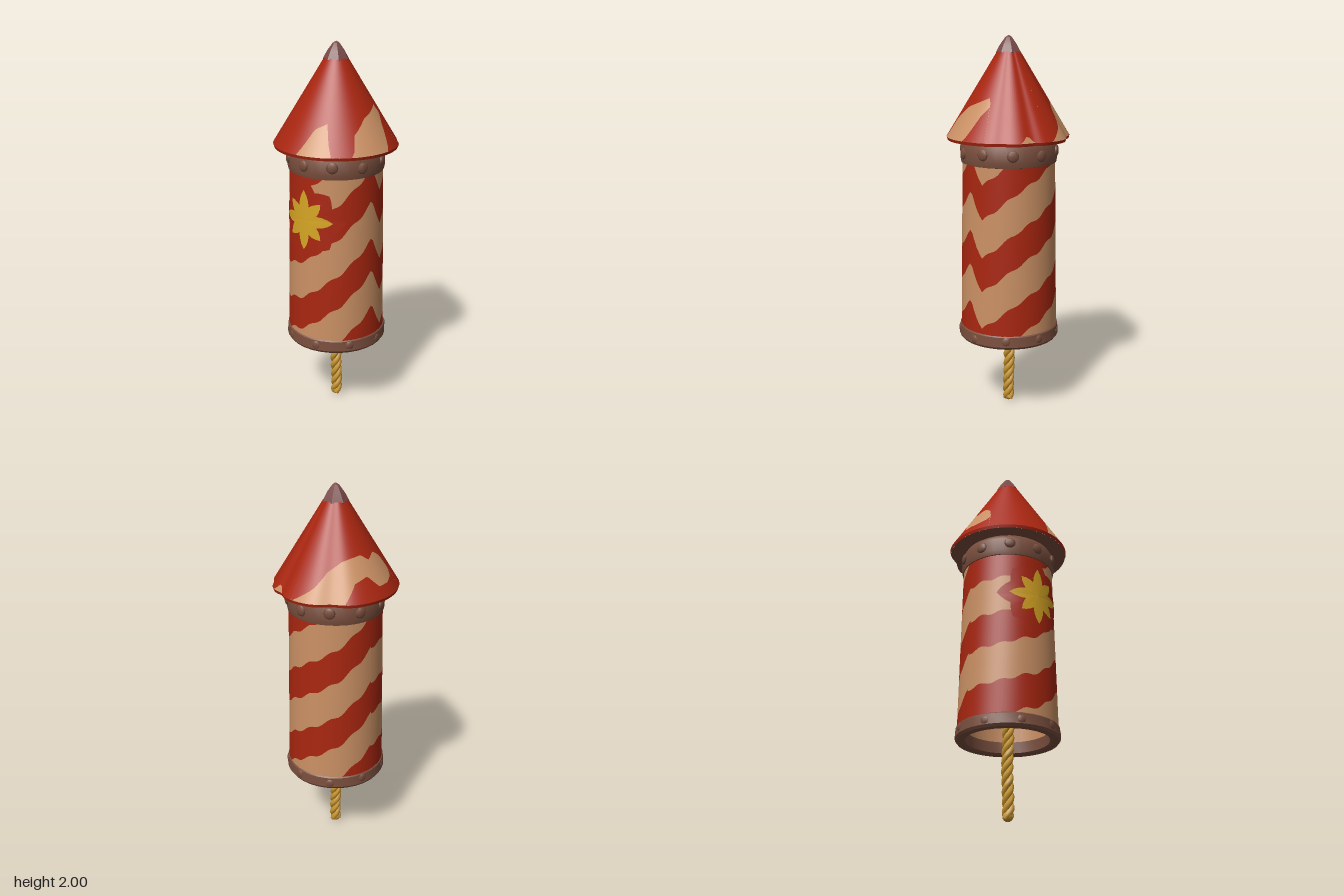
import * as THREE from 'three';
import { toCreasedNormals } from 'three/addons/utils/BufferGeometryUtils.js';

const RAD = Math.PI / 180;
const mat = (name, color) => {
  const m = new THREE.MeshStandardMaterial({ color });
  m.name = name;
  return m;
};

// linear lookup in a table of [key, value, value...] rows
function lookup(rows, key, col = 1) {
  for (let i = 1; i < rows.length; i++) {
    const a = rows[i - 1], b = rows[i];
    if (key <= b[0]) return a[col] + (b[col] - a[col]) * (key - a[0]) / (b[0] - a[0]);
  }
  return rows[rows.length - 1][col];
}

// surface between two boundary curves lo(t) and hi(t), t in degrees, empty cells skipped
function ribbon(t0, t1, step, lo, hi, point, rows = 1) {
  const pos = [], index = [];
  const n = Math.round((t1 - t0) / step), w = rows + 1;
  for (let i = 0; i <= n; i++) {
    const t = t0 + i * step, a = lo(t), b = hi(t);
    for (let j = 0; j <= rows; j++) pos.push(...point(t, a + (b - a) * j / rows));
    if (i === n) break;
    const flat = Math.abs(b - a) < 1e-5 && Math.abs(hi(t + step) - lo(t + step)) < 1e-5;
    for (let j = 0; j < rows && !flat; j++) {
      const k = i * w + j;
      index.push(k, k + w, k + w + 1, k, k + w + 1, k + 1);
    }
  }
  const g = new THREE.BufferGeometry();
  g.setAttribute('position', new THREE.Float32BufferAttribute(pos, 3));
  g.setIndex(index);
  g.computeVertexNormals();
  return g;
}

const lathe = (pts, seg) => toCreasedNormals(
  new THREE.LatheGeometry(pts.map(p => new THREE.Vector2(...p)), seg), 0.6);

export function createModel() {
  const root = new THREE.Group();
  root.name = 'fireworkRocket';
  const red = mat('red paint', 0xa92610), tan = mat('tan wood', 0xcb9165);
  const brown = mat('brown band', 0x794e3d), gold = mat('gold star', 0xd6a524);
  const ropeMat = mat('golden rope', 0xc8952f), tipMat = mat('dusky tip', 0x7a4c4a);
  const add = (name, geo, material, parent = root) => {
    const m = new THREE.Mesh(geo, material);
    m.name = name;
    parent.add(m);
    return m;
  };

  // striped body: the stripe centre climbs two periods per turn, with a kink at the seam
  const bodyR = y => 0.267 - 0.018 * y;
  const onBody = (t, y, lift = 0) => {
    const r = bodyR(y) + lift;
    return [r * Math.sin(t * RAD), y, r * Math.cos(t * RAD)];
  };
  const centre = [[-90, 0.72], [-45, 0.74], [0, 0.80], [45, 0.95], [88, 1.12],
    [106, 0.98], [150, 1.13], [225, 1.32], [270, 1.48]];
  const period = 0.38, half = 0.1;
  const clampY = y => Math.min(1.38, Math.max(0.45, y));
  const body = new THREE.Group();
  body.name = 'body';
  root.add(body);
  const edge = (k, off) => t => clampY(
    lookup(centre, t) + k * period + off + 0.008 * Math.sin(t * 0.24));
  for (let k = -3; k <= 2; k++) {
    add('tanStripe', ribbon(-90, 270, 4, edge(k, -half), edge(k, half), onBody), tan, body);
    add('redStripe', ribbon(-90, 270, 4, edge(k, half), edge(k, period - half), onBody), red, body);
  }
  add('hollowInside', lathe([[0, 1], [0.21, 1], [0.218, 0.41]], 36), tan);

  // eight-pointed star with a red surround, bent onto the body
  const star = (name, long, short, inner, lift, material) => {
    const radius = a => {
      const f = Math.abs(((a + 22.5) % 45) - 22.5) / 22.5;
      const tip = Math.round(a / 45) % 2 ? short : long;
      return tip + (inner - tip) * f;
    };
    const point = (a, s) => {
      const y = 1.13 + s * Math.sin(a * RAD);
      return onBody(s * Math.cos(a * RAD) / 0.247 / RAD, y, lift);
    };
    add(name, ribbon(0, 360, 7.5, radius, () => 0, point, 4), material);
  };
  star('starSurround', 0.225, 0.2, 0.165, 0.003, red);
  star('star', 0.16, 0.135, 0.08, 0.007, gold);

  // brown bands with bumpy studs
  add('bottomBand', lathe([[0.215, 0.47], [0.215, 0.41], [0.225, 0.402], [0.26, 0.402],
    [0.269, 0.415], [0.265, 0.468], [0.25, 0.482]], 32), brown);
  add('topBand', lathe([[0.235, 1.352], [0.248, 1.356], [0.253, 1.38], [0.25, 1.45],
    [0.235, 1.475], [0.2, 1.5]], 32), brown);
  const studs = (name, count, r, y, size, shift) => {
    for (let i = 0; i < count; i++) {
      const a = (i + shift) / count * Math.PI * 2;
      const s = add(name, new THREE.SphereGeometry(size, 8, 6), brown);
      s.scale.z = 0.4;
      s.rotation.y = a;
      s.position.set(r * Math.sin(a), y + 0.006 * Math.sin(i * 2.3), r * Math.cos(a));
    }
  };
  studs('topStud', 10, 0.252, 1.415, 0.03, 0);
  studs('bottomStud', 9, 0.262, 0.44, 0.025, 0.4);

  // cone roof with a dented rim, two creases and bare patches
  const rim = 0.323;
  const dip = (t, c, w) => Math.exp(-(((t - c) / w) ** 2));
  const onCone = (t, r, y = 1.918 - (r - 0.06) * 1.63) => {
    const f = 1 - (r / rim) * (0.07 * dip(t, -141, 12) + 0.05 * dip(t, 162, 7) + 0.03 * dip(t, 133, 7));
    return [r * f * Math.sin(t * RAD), y, r * f * Math.cos(t * RAD)];
  };
  // rows: angle, upper radius, lower radius of the bare wood
  const patches = [
    [[-178, rim, rim], [-160, 0.285, rim], [-147, 0.24, rim], [-129, 0.212, rim], [-117, 0.205, 0.27],
      [-101, 0.2, 0.256], [-90, 0.217, 0.29], [-76, 0.202, 0.29], [-64, 0.22, 0.28], [-59, 0.26, 0.26]],
    [[3, rim, rim], [16, 0.25, rim], [30, 0.233, rim], [35, rim, rim]],
    [[56, rim, rim], [60, 0.265, rim], [77, 0.225, rim], [94, 0.21, rim], [105, 0.2, 0.25],
      [111, 0.195, 0.23], [115, 0.22, 0.22]],
    [[151, rim, rim], [157, 0.3, rim], [164, rim, rim]],
  ];
  const patchEdge = col => t => {
    const p = patches.find(q => t >= q[0][0] && t <= q[q.length - 1][0]);
    return p ? lookup(p, t, col) : rim;
  };
  const upper = patchEdge(1), lower = patchEdge(2);
  const cone = new THREE.Group();
  cone.name = 'cone';
  root.add(cone);
  const top = () => 0.06, outer = () => rim;
  add('coneRed', ribbon(-180, 180, 3, upper, top, onCone), red, cone);
  add('conePatches', ribbon(-180, 180, 3, lower, upper, onCone), tan, cone);
  add('coneRedEdge', ribbon(-180, 180, 3, outer, lower, onCone), red, cone);
  add('coneLip', ribbon(-180, 180, 3, () => 1.474, () => 1.4895,
    (t, y) => onCone(t, rim - (1.4895 - y) * 0.3, y)), red, cone);
  add('coneUnderside', ribbon(-180, 180, 3, () => 0.2, () => rim - 0.005,
    (t, r) => onCone(t, r, 1.474 + (rim - 0.005 - r) * 0.2)), brown, cone);
  add('tip', lathe([[0.058, 1.905], [0.066, 1.914], [0.045, 1.952], [0.017, 1.99], [0, 2]], 7), tipMat);

  // twisted fuse rope of three strands
  const rope = new THREE.Group();
  rope.name = 'fuseRope';
  root.add(rope);
  for (let s = 0; s < 3; s++) {
    const pts = [];
    for (let i = 0; i <= 80; i++) {
      const y = 0.015 + i * 0.0125, a = y / 0.15 * Math.PI * 2 + s * Math.PI * 2 / 3;
      pts.push(new THREE.Vector3(
        0.015 * Math.sin(a) + 0.003 * Math.sin(y * 18), y, 0.015 * Math.cos(a)));
    }
    add('strand', new THREE.TubeGeometry(new THREE.CatmullRomCurve3(pts), 160, 0.0165, 7), ropeMat, rope);
  }
  add('ropeEnd', new THREE.SphereGeometry(0.027, 10, 8), ropeMat, rope).position.y = 0.027;
  return root;
}
